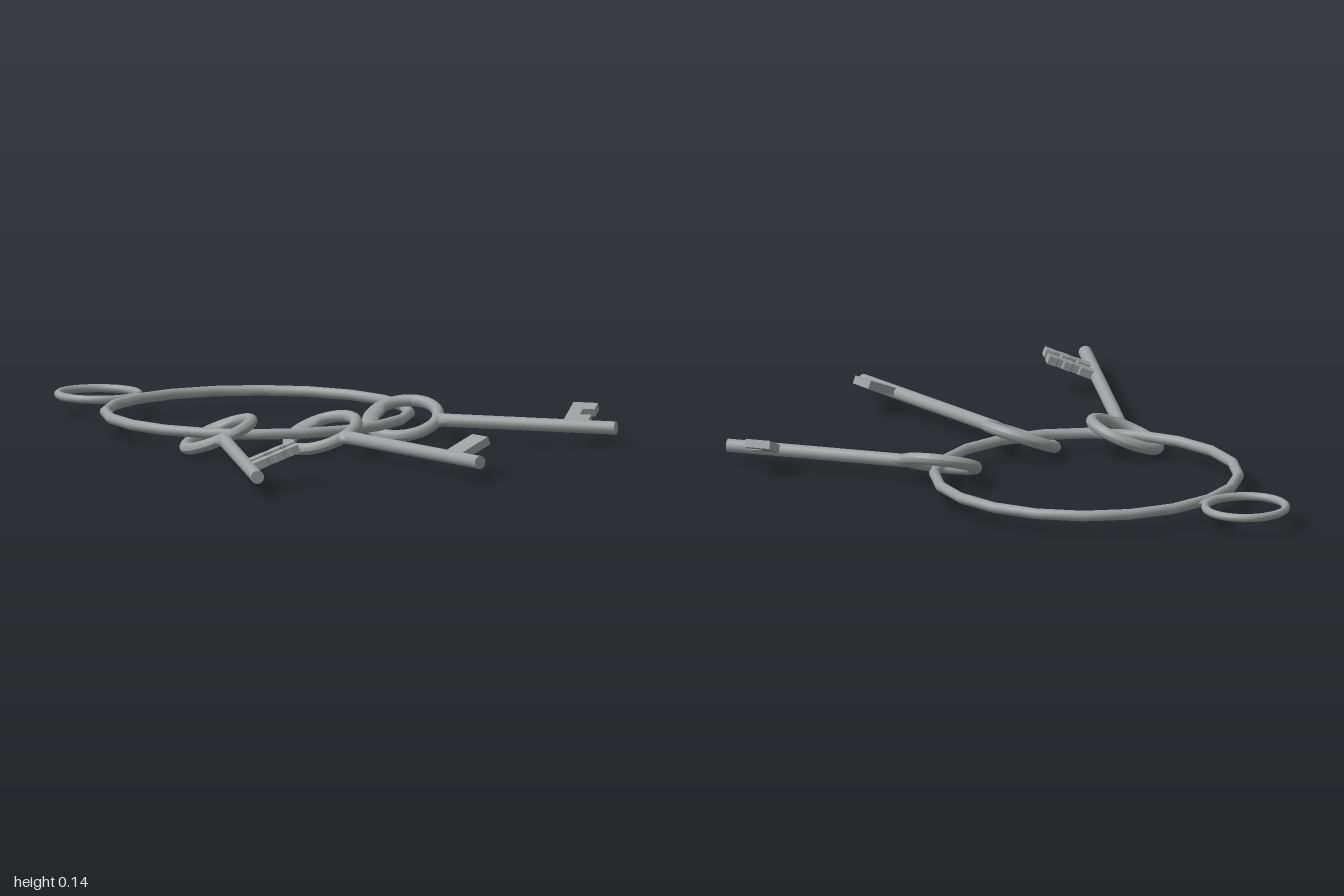
import * as THREE from 'three';

const steel = new THREE.MeshStandardMaterial({ color: 0x9c9f9f });
steel.name = 'greySteel';

const Y = 0.065; // height of the ring plane and of every key shaft
const ROLL = 0.385; // roll of each key about its shaft
const BOW = 0.112; // bow radius

function part(name, geometry, parent) {
  const mesh = new THREE.Mesh(geometry, steel);
  mesh.name = name;
  parent.add(mesh);
  return mesh;
}

function flatRing(radius, tube, sides, segments) {
  return new THREE.TorusGeometry(radius, tube, sides, segments).rotateX(Math.PI / 2);
}

// Bow whose inner edge swells at the end opposite the shaft
function bowGeometry() {
  const geometry = flatRing(BOW, 0.019, 12, 40);
  const p = geometry.attributes.position;
  for (let i = 0; i < p.count; i++) {
    const x = p.getX(i), z = p.getZ(i), r = Math.hypot(x, z);
    const far = THREE.MathUtils.smoothstep(-z / r, 0.75, 0.95);
    const k = (r - Math.max(0, BOW - r) * far * 0.9) / r;
    p.setX(i, x * k);
    p.setZ(i, z * k);
  }
  geometry.computeVertexNormals();
  return geometry;
}

// Flat plate from points given as [out from shaft, along shaft]
function bitGeometry(points) {
  const shape = new THREE.Shape(points.map(([x, y]) => new THREE.Vector2(x, y)));
  const thick = 0.026;
  return new THREE.ExtrudeGeometry(shape, { depth: thick, bevelEnabled: false })
    .rotateX(Math.PI / 2).translate(0, thick / 2, 0);
}

// Prong with waists cut into its edges; side = 1 or -1 chooses the deeper edge
function prong(centre, side) {
  const h = 0.023, n = 0.012;
  const edge = [[0, h], [0.06, h], [0.065, n], [0.085, n], [0.09, h], [0.115, h], [0.12, n], [0.135, n], [0.14, h], [0.168, h]];
  const other = edge.map(([x, w]) => [x, w === n ? 0.018 : w]).reverse();
  return [...edge.map(([x, w]) => [x, centre + side * w]), ...other.map(([x, w]) => [x, centre - side * w])];
}

function makeKey(name, x, z, turn, length, bits) {
  const key = new THREE.Group();
  key.name = name;
  part('bow', bowGeometry(), key);
  const start = BOW + 0.005;
  const shaft = new THREE.CylinderGeometry(0.021, 0.021, length - start, 16);
  part('shaft', shaft.rotateX(Math.PI / 2).translate(0, 0, (length + start) / 2), key);
  // Small flare where the shaft meets the bow
  const collar = new THREE.CylinderGeometry(0.021, 0.034, 0.035, 16).scale(1, 1, 0.6);
  part('collar', collar.rotateX(Math.PI / 2).translate(0, 0, BOW + 0.024), key);
  bits.forEach((b) => part('bit', bitGeometry(b), key));
  key.position.set(x, Y, z);
  key.rotation.set(0, turn, ROLL, 'YXZ');
  return key;
}

export function createModel() {
  const model = new THREE.Group();
  model.name = 'keyRing';

  // Large ring, hanging loop and the weld between them
  part('mainRing', flatRing(0.479, 0.017, 10, 20), model).position.set(0.318, Y, -0.23);
  part('hangingLoop', flatRing(0.127, 0.013, 10, 40), model).position.set(0.318, Y + 0.002, -0.86);
  const weld = new THREE.CylinderGeometry(0.06, 0.04, 0.024, 16).scale(1, 1, 0.22).rotateX(Math.PI / 2);
  part('weld', weld, model).position.set(0.318, Y, -0.724);

  // Three keys, each with its own bit
  model.add(makeKey('longKey', -0.127, -0.042, -Math.PI / 4, 0.95, [prong(0.678, 1), prong(0.751, -1)]));
  model.add(makeKey('middleKey', 0.095, 0.2, -0.262, 0.816,
    [[[0, 0.63], [0.126, 0.63], [0.126, 0.71], [0, 0.71]]]));
  model.add(makeKey('shortKey', 0.497, 0.21, 0.346, 0.703,
    [[[0, 0.527], [0.127, 0.527], [0.127, 0.608], [0.087, 0.608], [0.087, 0.57], [0.053, 0.57], [0.053, 0.608], [0, 0.608]]]));

  return model;
}
